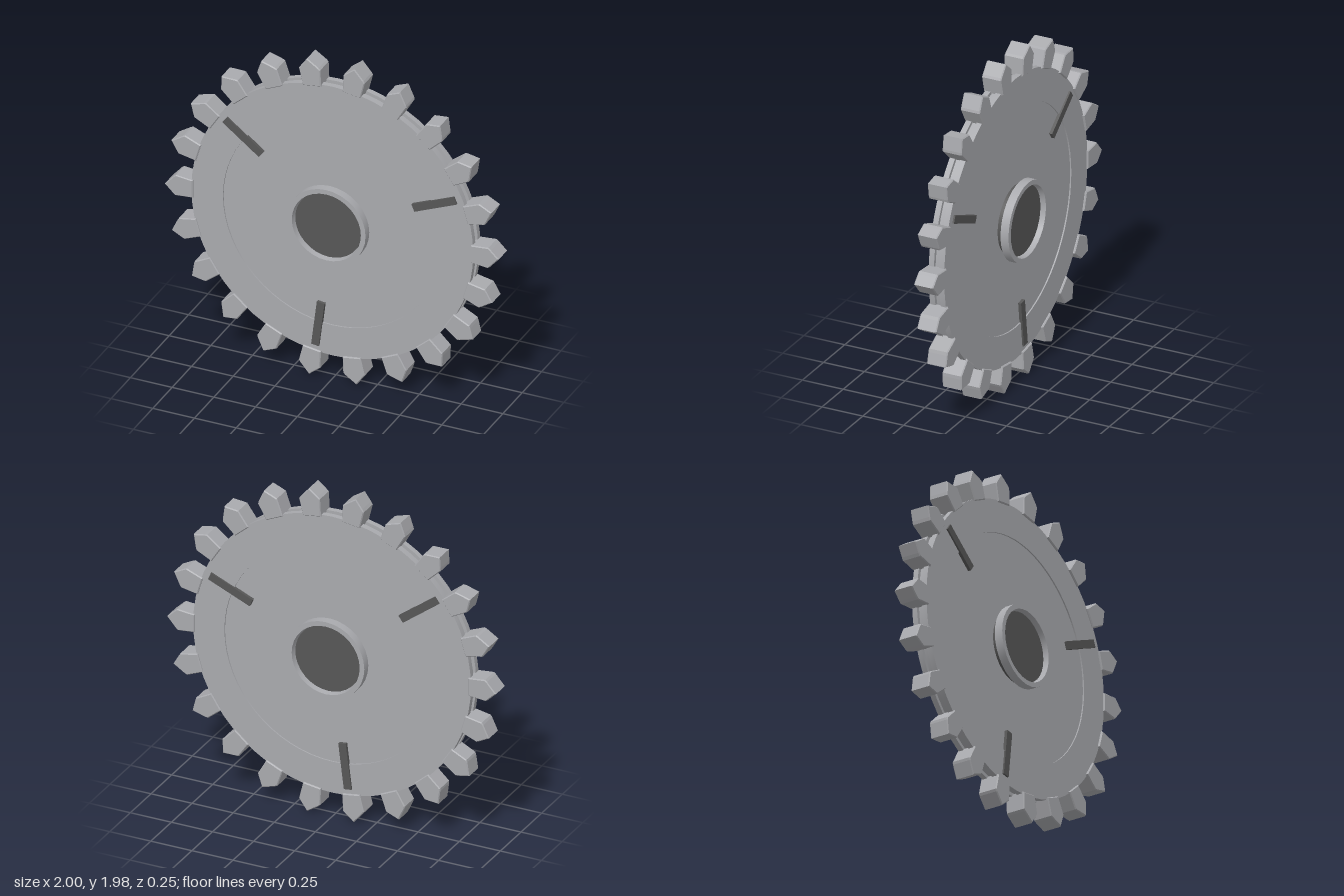
import * as THREE from 'three';
import { toCreasedNormals } from 'three/addons/utils/BufferGeometryUtils.js';

const steel = new THREE.MeshStandardMaterial({ color: 0xa9aaae });
steel.name = 'steel grey';
const dark = new THREE.MeshStandardMaterial({ color: 0x575757 });
dark.name = 'dark grey';

const TEETH = 22;

function add(parent, name, geometry, material) {
  const mesh = new THREE.Mesh(geometry, material);
  mesh.name = name;
  parent.add(mesh);
  return mesh;
}

// Lathe whose axis runs along z; profile points are [radius, z], rising in z on the outside
function turned(profile, segments) {
  const points = profile.map(([r, z]) => new THREE.Vector2(r, z));
  const geometry = new THREE.LatheGeometry(points, segments).rotateX(Math.PI / 2);
  return toCreasedNormals(geometry, 0.6);
}

export function createModel() {
  const model = new THREE.Group();
  model.name = 'toothedWheel';
  const wheel = new THREE.Group();
  wheel.name = 'wheel';
  wheel.position.y = 1;
  model.add(wheel);

  // Disc with a shallow recess on both faces and a groove round the rim
  const half = [[0, 0.04], [0.655, 0.04], [0.655, 0.048], [0.845, 0.048], [0.845, 0.016], [0.825, 0.016]];
  const profile = [
    ...half.map(([r, z]) => [r, -z]),
    ...half.slice().reverse(),
  ];
  add(wheel, 'disc', turned(profile, 64), steel);

  // Teeth: pointed blocks with slightly bevelled edges
  const outline = [
    [0.838, -0.05], [0.933, -0.06], [0.943, -0.052], [0.994, 0.006],
    [0.95, 0.048], [0.937, 0.059], [0.838, 0.05],
  ].map(([x, y]) => new THREE.Vector2(x, y));
  const toothGeometry = new THREE.ExtrudeGeometry(new THREE.Shape(outline), {
    depth: 0.106, bevelEnabled: true, bevelThickness: 0.006, bevelSize: 0.005, bevelSegments: 1,
  }).translate(0, 0, -0.053);
  for (let i = 0; i < TEETH; i++) {
    const tooth = add(wheel, 'tooth', toothGeometry, steel);
    tooth.rotation.z = (i / TEETH) * Math.PI * 2;
  }

  // Dark bars passing through the disc
  const barGeometry = new THREE.BoxGeometry(0.275, 0.046, 0.116).translate(0.667, 0, 0);
  for (let i = 0; i < 3; i++) {
    const bar = add(wheel, 'bar', barGeometry, dark);
    bar.rotation.z = THREE.MathUtils.degToRad(22.9 + i * 120);
  }

  // Dark axle with a hub ring on each side
  add(wheel, 'axle', new THREE.CylinderGeometry(0.2, 0.2, 0.19, 32).rotateX(Math.PI / 2), dark);
  const ringProfile = [[0.2, 0.076], [0.235, 0.076], [0.235, 0.125], [0.207, 0.125], [0.2, 0.076]];
  const ringGeometry = turned(ringProfile, 32);
  for (const side of [0, 1]) {
    const ring = add(wheel, 'hubRing', ringGeometry, steel);
    ring.rotation.y = side * Math.PI;
  }

  return model;
}
